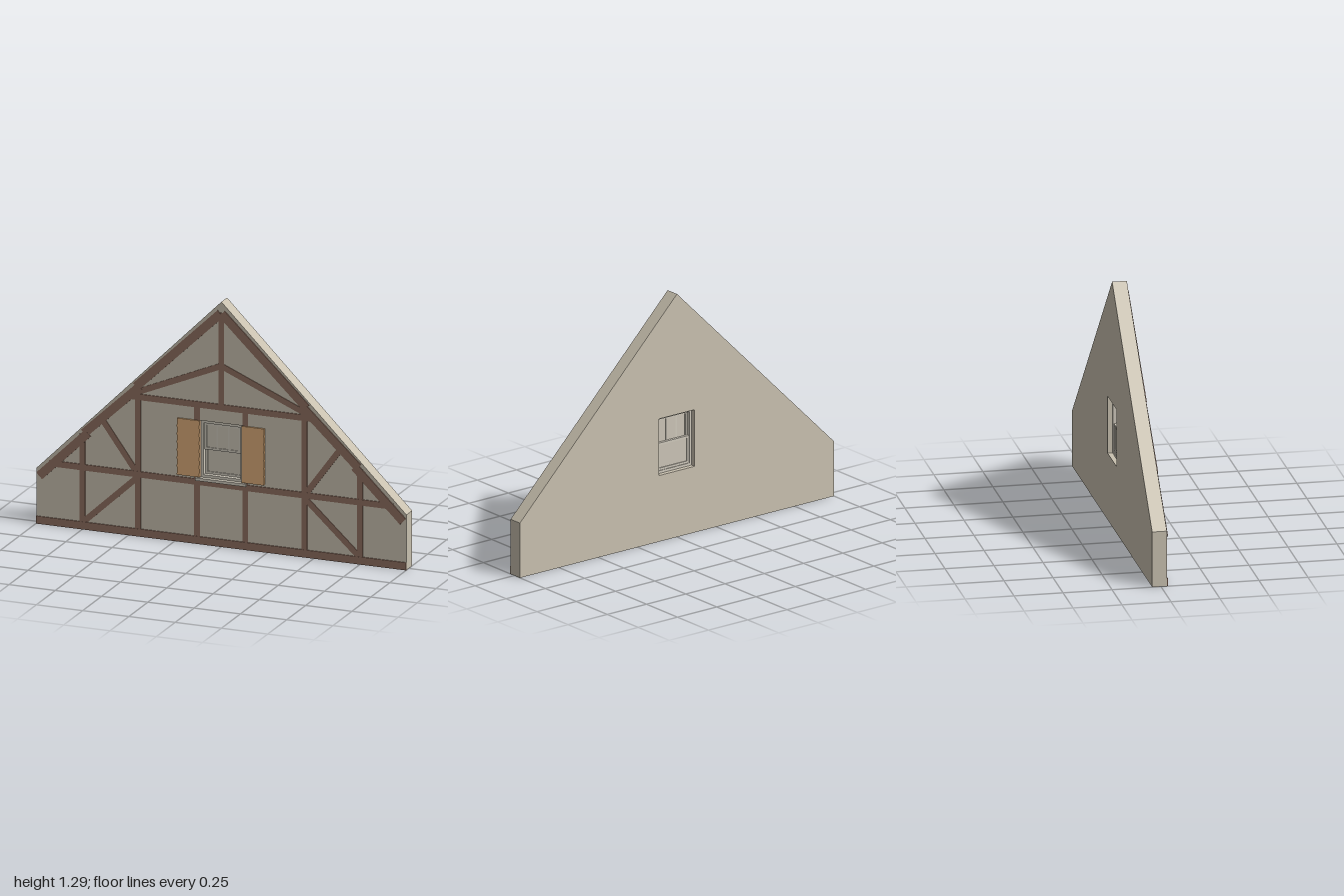
import * as THREE from 'three';

const mat = (name, color, side = THREE.FrontSide) => {
  const m = new THREE.MeshStandardMaterial({ color, side });
  m.name = name;
  return m;
};

const EAVE = 0.29, PEAK = 1.287, BACK = -0.045, FACE = 0.03;
const edgeY = x => PEAK - (PEAK - EAVE) * Math.abs(x);

export function createModel() {
  const plaster = mat('plaster', 0xc9c1b0);
  const timber = mat('timber', 0x8f6f5f);
  const shutterWood = mat('shutterWood', 0xc4996b);
  const framePaint = mat('framePaint', 0xd0cabd);
  const glass = mat('glass', 0xccc5b7);

  const model = new THREE.Group();
  model.name = 'timberedGable';
  const group = name => {
    const g = new THREE.Group();
    g.name = name;
    model.add(g);
    return g;
  };
  const add = (parent, name, geo, material) => {
    const m = new THREE.Mesh(geo, material);
    m.name = name;
    parent.add(m);
    return m;
  };
  // box given by its limits on each axis
  const box = (parent, name, material, x0, x1, y0, y1, z0, z1) => {
    const m = add(parent, name, new THREE.BoxGeometry(x1 - x0, y1 - y0, z1 - z0), material);
    m.position.set((x0 + x1) / 2, (y0 + y1) / 2, (z0 + z1) / 2);
    return m;
  };

  // gable wall with a window opening
  const outline = new THREE.Shape([[-1, 0], [1, 0], [1, EAVE], [0, PEAK], [-1, EAVE]]
    .map(p => new THREE.Vector2(...p)));
  outline.holes.push(new THREE.Path([[-0.113, 0.35], [-0.113, 0.65], [0.113, 0.65], [0.113, 0.35]]
    .map(p => new THREE.Vector2(...p))));
  const wall = add(model, 'wall',
    new THREE.ExtrudeGeometry(outline, { depth: FACE - BACK, bevelEnabled: false }), plaster);
  wall.position.z = BACK;

  // timber beams laid on the face, from one end point to the other
  const beams = group('timberFrame');
  const beam = (name, x0, y0, x1, y1, width = 0.031, top = 0.035) => {
    const len = Math.hypot(x1 - x0, y1 - y0);
    const m = add(beams, name, new THREE.BoxGeometry(len, width, top - FACE + 0.004), timber);
    m.position.set((x0 + x1) / 2, (y0 + y1) / 2, (top + FACE - 0.004) / 2);
    m.rotation.z = Math.atan2(y1 - y0, x1 - x0);
  };
  beam('bottomPlate', -1, 0.02, 1, 0.02, 0.04, 0.0355);
  beam('middleRail', -0.93, 0.326, 0.93, 0.326, 0.032, 0.0345);
  beam('collarBeam', -0.49, 0.733, 0.49, 0.733, 0.032, 0.0345);
  beam('kingPost', 0, 0.74, 0, 1.23, 0.03, 0.034);
  for (const s of [-1, 1]) {
    beam('outerPost', s * 0.75, 0.03, s * 0.75, 0.5, 0.03, 0.034);
    beam('mainPost', s * 0.45, 0.03, s * 0.45, 0.79, 0.03, 0.034);
    beam('lowerWindowPost', s * 0.13, 0.03, s * 0.13, 0.32, 0.03, 0.034);
    beam('upperWindowPost', s * 0.13, 0.33, s * 0.13, 0.73, 0.03, 0.034);
    beam('upperBrace', s * 0.46, 0.755, 0, 0.95, 0.031, 0.0335);
    beam('sideBrace', s * 0.65, 0.6, s * 0.45, 0.325, 0.031, 0.0335);
    beam('footBrace', s * 0.75, 0.035, s * 0.45, 0.312, 0.031, 0.0335);
    // rafter in three lengths, each tilted slightly outward at its foot
    [[0.004, 0.46, 0.058, 0.042], [0.44, 0.74, 0.06, 0.042], [0.72, 0.982, 0.06, 0.055]]
      .forEach(([xa, xb, da, db], i) =>
        beam('rafter', s * xa, edgeY(xa) - da, s * xb, edgeY(xb) - db, 0.045, 0.0352 + i * 0.0002));
  }

  // sash window set back in the opening
  const win = group('window');
  const ring = (name, x, y0, y1, bar, z0, z1) => {
    for (const s of [-1, 1]) {
      const a = s * x, b = s * (x - bar);
      box(win, name + 'Stile', framePaint, Math.min(a, b), Math.max(a, b), y0, y1, z0, z1);
    }
    box(win, name + 'BottomRail', framePaint, -x + bar, x - bar, y0, y0 + bar, z0, z1);
    box(win, name + 'TopRail', framePaint, -x + bar, x - bar, y1 - bar, y1, z0, z1);
  };
  ring('casing', 0.113, 0.35, 0.65, 0.014, -0.02, 0.022);
  ring('upperSash', 0.099, 0.495, 0.636, 0.012, -0.002, 0.012);
  ring('lowerSash', 0.099, 0.364, 0.509, 0.012, -0.016, -0.002);
  for (const x of [-0.031, 0.031])
    box(win, 'muntin', framePaint, x - 0.004, x + 0.004, 0.507, 0.624, 0, 0.01);
  box(win, 'upperPane', glass, -0.087, 0.087, 0.507, 0.624, 0.003, 0.007);
  box(win, 'lowerPane', glass, -0.087, 0.087, 0.376, 0.497, -0.011, -0.007);
  box(win, 'sill', framePaint, -0.137, 0.137, 0.335, 0.35, 0.01, 0.045);

  // shutters of overlapping slats
  const slats = 7, y0 = 0.355, h = 0.295 / slats;
  const profile = [[FACE, y0]];
  for (let i = 0; i < slats; i++)
    profile.push([0.046, y0 + i * h], [0.04, y0 + (i + 1) * h]);
  profile.push([FACE, y0 + slats * h]);
  const slatShape = new THREE.Shape(profile.map(([z, y]) => new THREE.Vector2(-z, y)));
  const slatGeo = new THREE.ExtrudeGeometry(slatShape, { depth: 0.121, bevelEnabled: false });
  slatGeo.rotateY(Math.PI / 2);
  for (const s of [-1, 1]) {
    const m = add(model, s > 0 ? 'leftShutter' : 'rightShutter', slatGeo, shutterWood);
    m.position.x = s > 0 ? 0.114 : -0.235;
  }
  return model;
}
